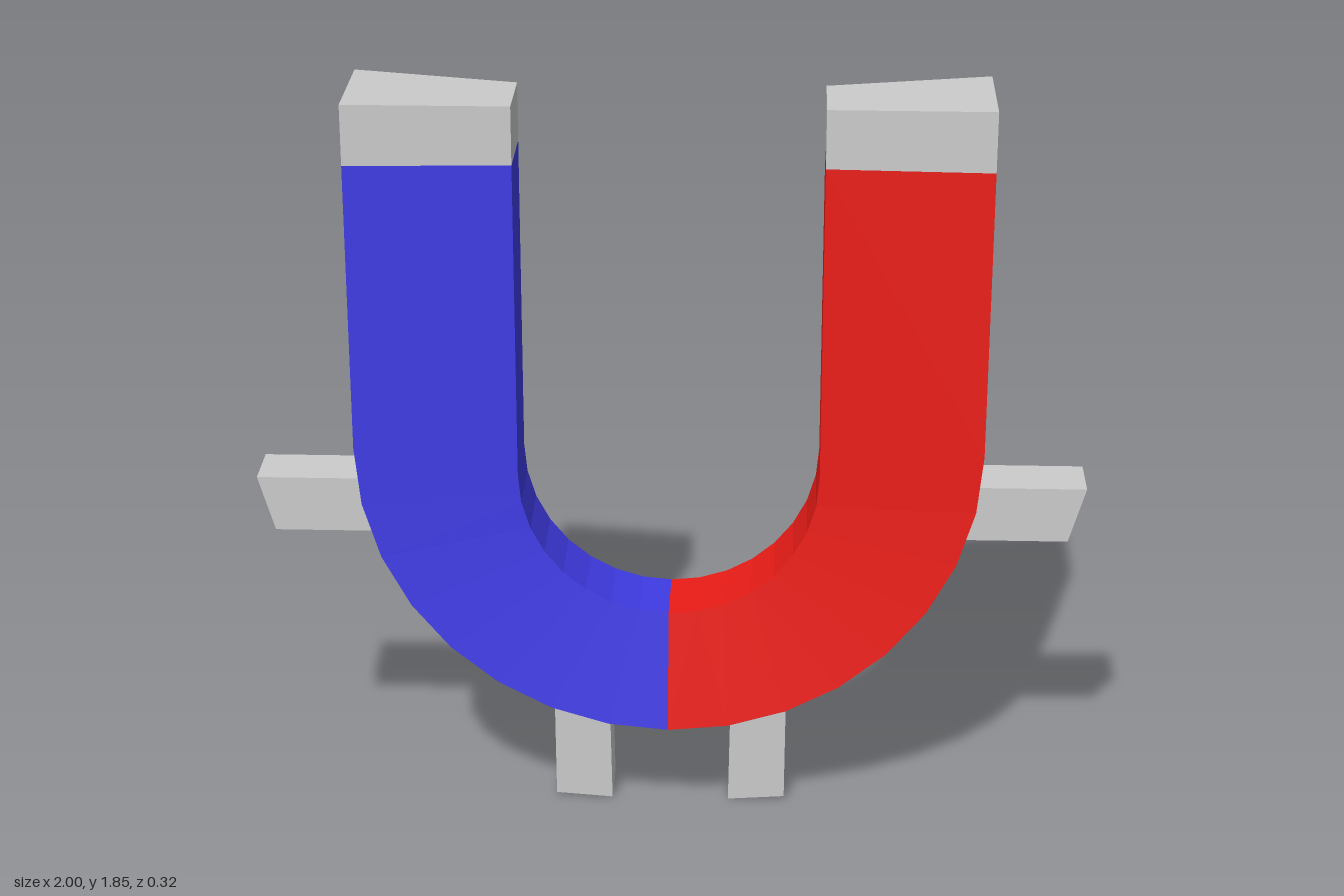
import * as THREE from 'three';

const RED = 0xeb1c17, BLUE = 0x403ce6, GREY = 0xcccccc, BLACK = 0x0a0a0a;

// Four corners: outer front, inner front, inner back, outer back
function section([xo, yo], [xi, yi], [zof, zob], [zif, zib]) {
  return [[xo, yo, zof], [xi, yi, zif], [xi, yi, zib], [xo, yo, zob]];
}

// Skins sections listed from bottom to top; side = -1 mirrors the part in x
function loft(name, sections, side, color, caps = true) {
  const pos = [], last = sections.length - 1;
  const tri = (a, b, c) => {
    for (const p of side > 0 ? [a, b, c] : [a, c, b]) pos.push(p[0] * side, p[1], p[2]);
  };
  for (let i = 0; i < last; i++) {
    for (let j = 0; j < 4; j++) {
      const k = (j + 1) % 4, lo = sections[i], hi = sections[i + 1];
      tri(lo[j], hi[j], hi[k]);
      tri(lo[j], hi[k], lo[k]);
    }
  }
  if (caps) {
    const b = sections[0], t = sections[last];
    tri(b[0], b[1], b[2]);
    tri(b[0], b[2], b[3]);
    tri(t[0], t[2], t[1]);
    tri(t[0], t[3], t[2]);
  }
  const geo = new THREE.BufferGeometry();
  geo.setAttribute('position', new THREE.Float32BufferAttribute(pos, 3));
  geo.computeVertexNormals();
  const mesh = new THREE.Mesh(geo, new THREE.MeshStandardMaterial({ color, flatShading: true }));
  mesh.name = name;
  return mesh;
}

export function createModel() {
  const model = new THREE.Group();
  model.name = 'horseshoeMagnet';

  // Wedge-shaped cross-section: thick outside, thinner inside
  const zOuter = [0.16, -0.12], zInner = [0.12, -0.07];
  const ring = (outer, inner) => section(outer, inner, zOuter, zInner);

  // Half of the bend, from the bottom centre outwards, then the straight arm
  const half = [];
  for (let i = 0; i <= 8; i++) {
    const a = (i / 8) * Math.PI / 2, s = Math.sin(a), c = Math.cos(a);
    half.push(ring([0.742 * s, 1.01 - 0.735 * c], [0.358 * s, 0.93 - 0.358 * c]));
  }
  const tipStart = ring([0.742, 1.708], [0.358, 1.7]);
  const tipEnd = ring([0.742, 1.852], [0.358, 1.84]);
  half.push(tipStart);

  // Limbs sit toward the face side
  const zLimb = [0.018, -0.122];
  const hand = [
    section([0.96, 0.732], [0.67, 0.732], zLimb, zLimb),
    section([1.0, 0.87], [0.715, 0.87], zLimb, zLimb),
  ];
  const foot = [
    section([0.285, 0.014], [0.145, 0.004], [0.013, -0.125], [0.013, -0.125]),
    section([0.287, 0.335], [0.15, 0.295], zLimb, zLimb),
  ];

  for (const side of [1, -1]) {
    const label = side > 0 ? 'left' : 'right';
    model.add(
      loft(label + 'Half', half, side, side > 0 ? RED : BLUE, false),
      loft(label + 'Tip', [tipStart, tipEnd], side, GREY),
      loft(label + 'Arm', hand, side, GREY),
      loft(label + 'Leg', foot, side, GREY),
    );
  }

  // Face: two round eyes and a curved smile
  const black = new THREE.MeshStandardMaterial({ color: BLACK });
  const face = new THREE.Group();
  face.name = 'face';
  for (const x of [0.15, -0.18]) {
    const eye = new THREE.Mesh(new THREE.SphereGeometry(0.04, 24, 16), black);
    eye.name = 'eye';
    eye.position.set(x, 0.53, -0.122);
    face.add(eye);
  }
  const curve = new THREE.CatmullRomCurve3([
    [-0.1, 0.425, -0.12], [-0.06, 0.394, -0.123], [-0.01, 0.383, -0.124],
    [0.04, 0.394, -0.123], [0.08, 0.425, -0.12],
  ].map((p) => new THREE.Vector3(...p)));
  const smile = new THREE.Mesh(new THREE.TubeGeometry(curve, 24, 0.018, 10), black);
  smile.name = 'smile';
  face.add(smile);
  for (const t of [0, 1]) {
    const end = new THREE.Mesh(new THREE.SphereGeometry(0.018, 12, 8), black);
    end.name = 'smileEnd';
    end.position.copy(curve.getPoint(t));
    face.add(end);
  }
  model.add(face);
  return model;
}
